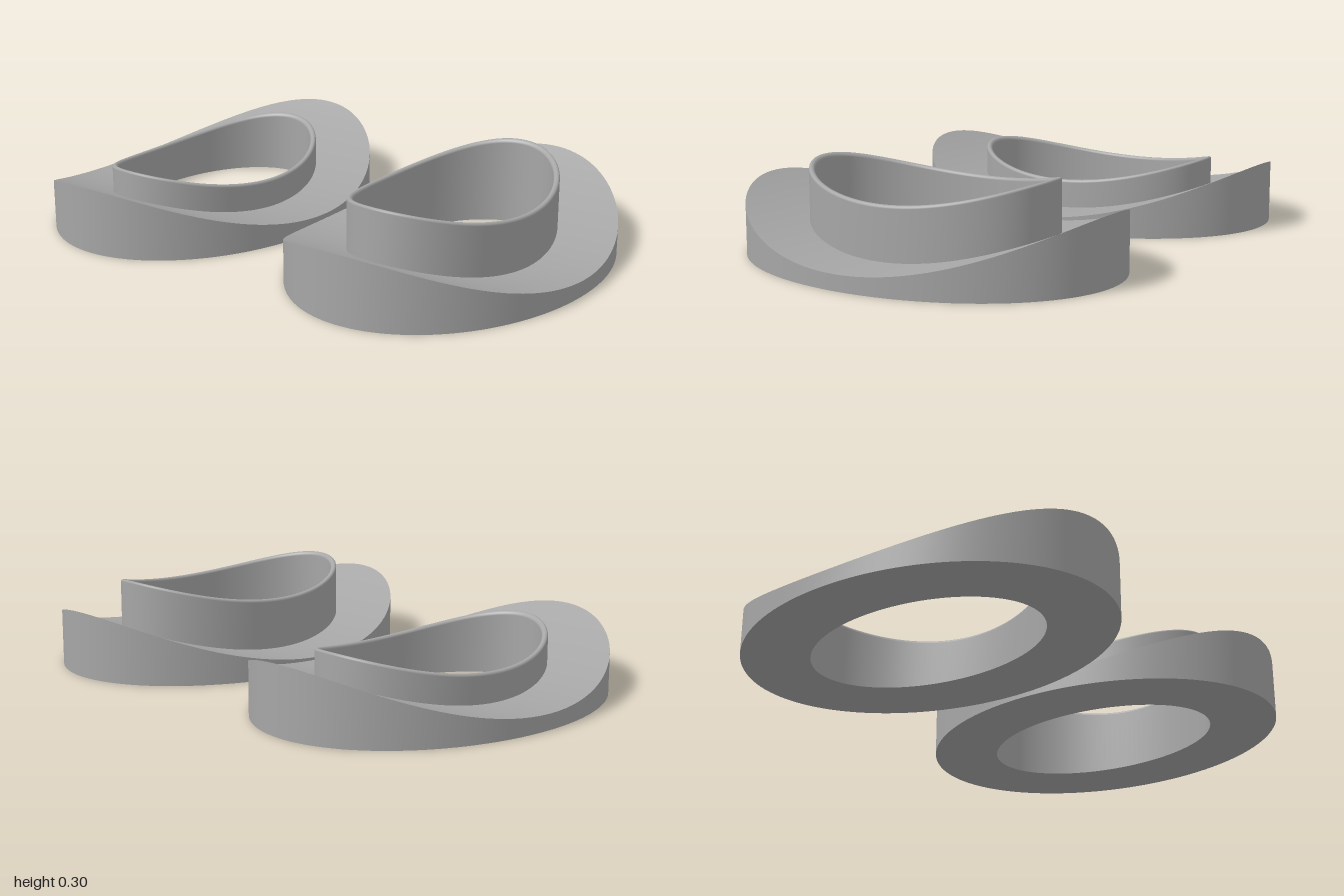
import * as THREE from 'three';
import { mergeGeometries } from 'three/addons/utils/BufferGeometryUtils.js';

const SEGMENTS = 128;
const BEND = 1.365; // radius of the cylinder that dishes the tops
const OUTER = [0.667, 0.493];
const COLLAR = [0.45, 0.297];
const HOLE = [0.429, 0.276];

const sag = (x) => BEND - Math.sqrt(BEND * BEND - x * x);
const mix = (p, q, t) => [p[0] + (q[0] - p[0]) * t, p[1] + (q[1] - p[1]) * t];

// Smooth skin through elliptical loops; each row is { radii, y, curved }
function skin(rows) {
  const positions = [];
  const indices = [];
  rows.forEach(({ radii, y, curved }, i) => {
    for (let j = 0; j < SEGMENTS; j++) {
      const angle = (j / SEGMENTS) * Math.PI * 2;
      const x = radii[0] * Math.cos(angle);
      positions.push(x, y + (curved ? sag(x) : 0), radii[1] * Math.sin(angle));
      if (i < rows.length - 1) {
        const a = i * SEGMENTS + j;
        const b = i * SEGMENTS + (j + 1) % SEGMENTS;
        indices.push(a, a + SEGMENTS, b, b, a + SEGMENTS, b + SEGMENTS);
      }
    }
  });
  const geometry = new THREE.BufferGeometry();
  geometry.setAttribute('position', new THREE.Float32BufferAttribute(positions, 3));
  geometry.setIndex(indices);
  geometry.computeVertexNormals();
  return geometry;
}

// Flat-bottomed oval flange with a dished top
function flangeGeometry() {
  const top = [];
  for (let i = 0; i <= 10; i++) {
    top.push({ radii: mix(OUTER, COLLAR, i / 10), y: 0.052, curved: true });
  }
  return mergeGeometries([
    skin([{ radii: HOLE, y: 0 }, { radii: OUTER, y: 0 }]),
    skin([{ radii: OUTER, y: 0 }, top[0]]),
    skin(top),
  ]);
}

// Thin oval collar with a rounded lip, lining the hole down to the bottom
function collarGeometry(topY) {
  const lip = 0.01;
  const rows = [{ radii: COLLAR, y: 0.05, curved: true }];
  for (let i = 0; i <= 8; i++) {
    const a = (i / 8) * Math.PI;
    rows.push({
      radii: mix(COLLAR, HOLE, (1 - Math.cos(a)) / 2),
      y: topY - lip + lip * Math.sin(a),
      curved: true,
    });
  }
  rows.push({ radii: HOLE, y: 0 });
  return skin(rows);
}

export function createModel() {
  const grey = new THREE.MeshStandardMaterial({ color: 0xa6a6a6 });
  grey.name = 'grey';
  const model = new THREE.Group();
  model.name = 'saddleRingPair';

  // Front ring has the tall collar, back ring the short one
  for (const [name, z, topY] of [['frontRing', 0.507, 0.23], ['backRing', -0.507, 0.151]]) {
    const ring = new THREE.Group();
    ring.name = name;
    const flange = new THREE.Mesh(flangeGeometry(), grey);
    flange.name = 'flange';
    const collar = new THREE.Mesh(collarGeometry(topY), grey);
    collar.name = 'collar';
    ring.add(flange, collar);
    ring.position.z = z;
    model.add(ring);
  }
  return model;
}
